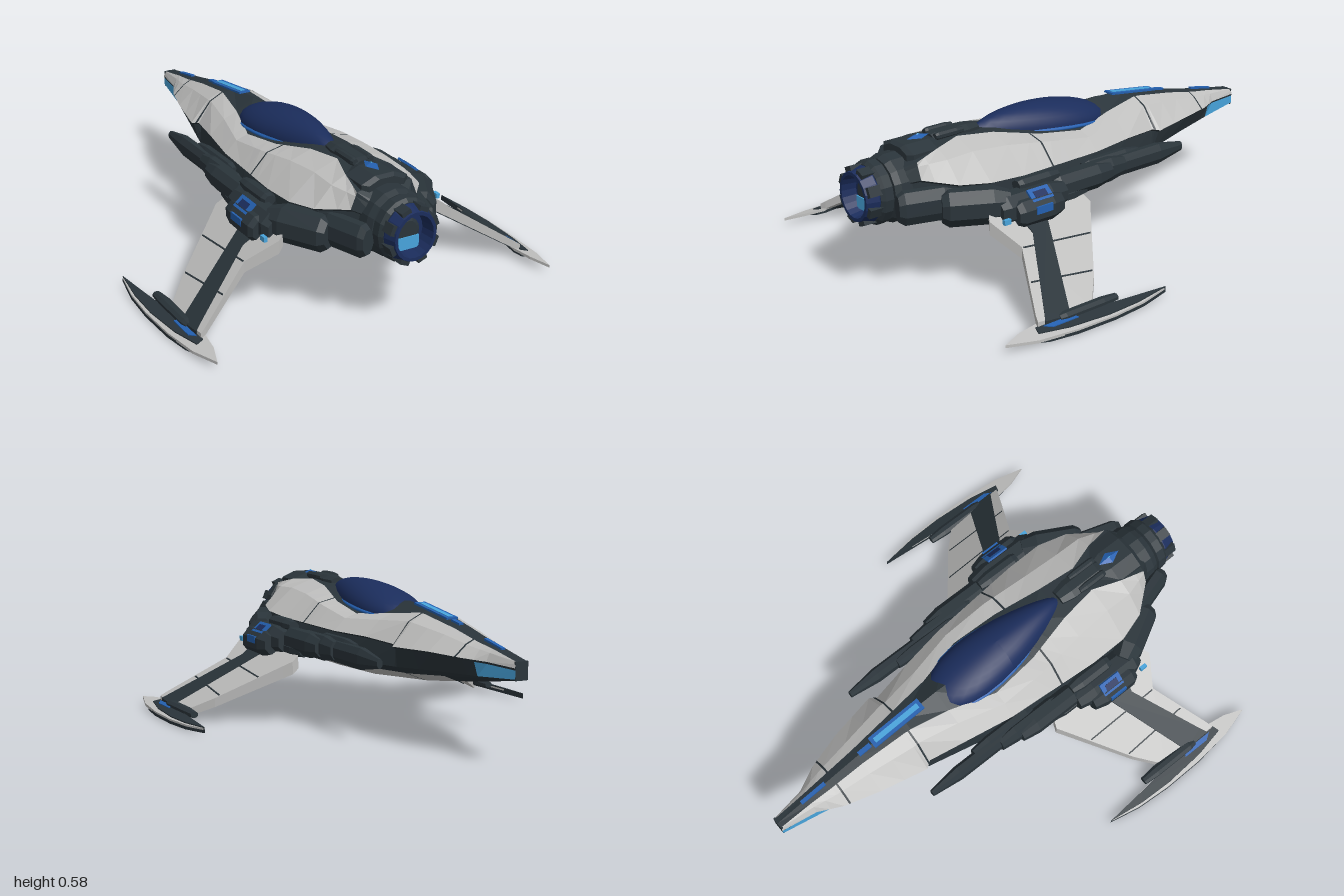
import * as THREE from 'three';

const mat = (name, color) => Object.assign(new THREE.MeshStandardMaterial({ color }), { name });

// Upper hull: z, spine top y, spine edge x/y, shoulder break x/y, shoulder foot x/y
const UPPER = [
  [-1, .4, .022, .398, .026, .39, .03, .376],
  [-.85, .43, .025, .425, .04, .412, .055, .38],
  [-.75, .447, .03, .44, .06, .425, .105, .385],
  [-.6, .478, .035, .47, .08, .45, .15, .39],
  [-.4, .512, .05, .503, .11, .475, .192, .385],
  [-.37, .516, .053, .505, .11, .475, .172, .39],
  [-.2, .53, .08, .485, .14, .462, .205, .4],
  [0, .51, .137, .465, .19, .449, .24, .4],
  [.2, .52, .122, .492, .19, .479, .256, .405],
  [.4, .54, .08, .535, .17, .505, .272, .41],
  [.56, .55, .06, .55, .16, .515, .272, .42],
  [.68, .548, .1, .54, .16, .51, .235, .43],
  [.79, .53, .12, .515, .125, .5, .145, .45],
  [.87, .47, .04, .47, .06, .46, .08, .43],
];
// Lower hull: z, chine x/y, belly break x/y, keel ridge y
const LOWER = [
  [-1, .028, .335, .02, .332, .328],
  [-.8, .06, .32, .045, .31, .297],
  [-.6, .11, .313, .08, .292, .267],
  [-.4, .16, .302, .12, .275, .24],
  [0, .245, .292, .19, .262, .208],
  [.3, .285, .285, .21, .258, .202],
  [.55, .275, .285, .2, .26, .205],
  [.78, .16, .29, .13, .275, .245],
  [.87, .08, .36, .05, .33, .32],
];

// Linear lookup of one row at z
function rowAt(table, z) {
  let i = 0;
  while (i < table.length - 2 && table[i + 1][0] < z) i++;
  const [a, b] = [table[i], table[i + 1]];
  const t = (z - a[0]) / (b[0] - a[0]);
  return a.map((v, k) => v + (b[k] - v) * t);
}

function halfProfile(z) {
  const [, yt, s, ys, m, ym, w, yw] = rowAt(UPPER, z);
  const [, w2, y2, b, yb, yk] = rowAt(LOWER, z);
  return [[0, yt], [s, ys], [m, ym], [w, yw], [w * .94, yw - .008], [w2, y2], [b, yb], [b * .28, yk], [0, yk + b * .09]]
    .map(([x, y]) => [x, y, z]);
}

// Facet a geometry
function flat(geo) {
  const g = geo.index ? geo.toNonIndexed() : geo;
  g.computeVertexNormals();
  return g;
}

// Mirrored copy across x with corner order reversed
function mirror(geo) {
  const g = geo.index ? geo.toNonIndexed() : geo.clone();
  for (const key of ['position', 'normal']) {
    const a = g.attributes[key].array;
    for (let i = 0; i < a.length; i += 9) {
      for (let k = 0; k < 3; k++) [a[i + 3 + k], a[i + 6 + k]] = [a[i + 6 + k], a[i + 3 + k]];
      for (let k = 0; k < 9; k += 3) a[i + k] *= -1;
    }
  }
  return g;
}

// Eight-sided block with chamfered ends, long axis on z
function block(x, y, z, w, h, l, nose = .36, yaw = 0) {
  const pts = [[0, -.5], [.38, -.5], [.5, -.4], [.5, .25], [nose, .5], [0, .5]]
    .map(([r, t]) => new THREE.Vector2(r / Math.cos(Math.PI / 8), t));
  const g = new THREE.LatheGeometry(pts, 8);
  g.rotateY(Math.PI / 8).rotateX(-Math.PI / 2).scale(w, h, l).rotateY(yaw).translate(x, y, z);
  return flat(g);
}

// Plate with a top outline in x/z; height follows a rule of x and z
function plate(outline, mid, thick) {
  const shape = new THREE.Shape(outline.map(([x, z]) => new THREE.Vector2(x, z)));
  const g = new THREE.ExtrudeGeometry(shape, { depth: 1, bevelEnabled: false });
  g.rotateX(Math.PI / 2);
  const p = g.attributes.position;
  for (let i = 0; i < p.count; i++) p.setY(i, mid(p.getX(i), p.getZ(i)) + (p.getY(i) + .5) * thick(p.getX(i)));
  return flat(g);
}

function ring(profile, sides = 20) {
  const g = new THREE.LatheGeometry(profile.map(([r, z]) => new THREE.Vector2(r, z)), sides);
  g.rotateX(Math.PI / 2).scale(1, 1.08, 1).translate(0, .395, 0);
  return flat(g);
}

export function createModel() {
  const white = mat('pale armour', 0xbfbfbe), dark = mat('dark metal', 0x2a343a);
  const navy = mat('navy glass', 0x1b2d5c), blue = mat('blue trim', 0x2460b0), glow = mat('light blue glow', 0x48a4dc);
  const model = new THREE.Group();
  model.name = 'starfighter';
  const add = (name, geo, m) => {
    const mesh = new THREE.Mesh(geo, m);
    mesh.name = name;
    model.add(mesh);
  };
  const pair = (name, geo, m) => {
    add(name + 'Left', geo, m);
    add(name + 'Right', mirror(geo), m);
  };
  const box = (x, y, z, w, h, l, tilt = 0) =>
    new THREE.BoxGeometry(w, h, l).rotateZ(tilt).translate(x, y, z);

  // Hull: strips of spine, armour, flank, belly and keel with dark seams
  const seams = [-.73, -.385, .24];
  const zs = [...UPPER.map(r => r[0]), ...seams, ...seams.map(z => z + .008), -.8, -.5, -.05, .15, .3, .75].sort((a, b) => a - b);
  const mats = [white, dark, glow, navy, blue];
  const hull = [[], [], [], [], []];
  for (let i = 0; i < zs.length - 1; i++) {
    const A = halfProfile(zs[i]), B = halfProfile(zs[i + 1]), mz = (zs[i] + zs[i + 1]) / 2;
    const seam = seams.some(z => mz > z && mz < z + .008);
    for (let j = 0; j < 8; j++) {
      let k = 1;
      if ((j === 1 || j === 2) && !seam && mz < .79) k = 0;
      if (j === 6 && !seam && mz > -.6 && mz < .75) k = 0;
      if (j === 4 && mz < -.8) k = 2;
      if (j === 7 && mz > -.5 && mz < -.2) k = 4;
      if (j === 7 && mz > -.05 && mz < .15) k = 3;
      hull[k].push(...A[j], ...B[j], ...B[j + 1], ...A[j], ...B[j + 1], ...A[j + 1]);
    }
  }
  hull.forEach((v, k) => {
    const g = new THREE.BufferGeometry();
    g.setAttribute('position', new THREE.Float32BufferAttribute(v, 3));
    pair(['hullArmour', 'hullFrame', 'noseLight', 'keelGlass', 'keelLight'][k], flat(g), mats[k]);
  });
  add('noseCap', box(0, .364, -.996, .054, .07, .008), dark);

  // Teardrop canopy and its rim
  const canopy = (wide, high, y) => {
    const g = new THREE.SphereGeometry(1, 28, 18), p = g.attributes.position;
    for (let i = 0; i < p.count; i++) {
      const t = p.getZ(i);
      p.setXYZ(i, p.getX(i) * wide * (1 - .42 * t), y + .025 * t + p.getY(i) * high, .11 + .335 * t);
    }
    g.computeVertexNormals();
    return g;
  };
  add('canopy', canopy(.114, .092, .488), navy);
  add('canopyRim', canopy(.12, .026, .485), blue);

  // Spine details
  const strip = (z, y, w, l, tilt) => new THREE.BoxGeometry(w, .008, l).rotateX(-tilt).translate(0, y, z);
  add('noseLightStrip', strip(-.4, .513, .05, .25, .13), blue);
  add('noseLightCore', strip(-.4, .515, .022, .22, .13), glow);
  add('noseTrimStrip', strip(-.56, .487, .02, .06, .16), blue);
  add('noseFrontStrip', strip(-.82, .437, .016, .12, .18), blue);
  add('dorsalFairing', block(0, .545, .54, .09, .05, .22), dark);
  add('dorsalHousing', block(0, .52, .72, .2, .085, .17), dark);
  pair('dorsalFin', block(.035, .56, .58, .03, .03, .13), dark);
  add('dorsalGem', flat(new THREE.OctahedronGeometry(1).scale(.026, .012, .052).translate(0, .563, .7)), blue);
  add('dorsalGemCore', flat(new THREE.OctahedronGeometry(1).scale(.01, .014, .026).translate(0, .564, .7)), glow);

  // Flank armour: x, y, z, width, height, length, nose, yaw
  [[.3, .335, .14, .085, .1, .3], [.325, .325, .42, .12, .12, .32], [.265, .345, .63, .12, .14, .26, .36, -.5],
    [.17, .36, .78, .075, .13, .24, .36, -.3], [.25, .345, -.06, .05, .08, .3], [.37, .31, .42, .1, .11, .22],
    [.295, .39, .36, .06, .05, .2], [.3, .3, .28, .09, .06, .3]]
    .forEach((b, i) => pair('flankArmour' + (i + 1), block(...b), dark));

  // Long forward pods and root lights
  pair('forwardPod', block(.27, .33, -.17, .054, .085, .54, .22), dark);
  pair('podRear', block(.285, .335, .05, .062, .1, .3), dark);
  pair('rootLight', box(.377, .37, .41, .056, .009, .1, -.7), blue);
  pair('rootLightInset', box(.378, .371, .41, .028, .009, .06, -.7), navy);
  pair('rootSideLight', box(.418, .325, .42, .008, .03, .08), blue);
  pair('rootRearLight', box(.39, .305, .58, .015, .02, .03), glow);

  // Drooping pitched wings with a dark spar and panel seams
  const mid = (x, z) => .262 - .68 * (x - .36) + .1 * (z - .4);
  const thick = k => x => k * (.054 - .06 * (x - .35));
  const wing = (name, pts, k, m) => pair(name, plate(pts, mid, thick(k)), m);
  wing('wing', [[.33, .15], [.36, .14], [.39, .165], [.62, .35], [.72, .45], [.725, .71], [.7, .7], [.47, .575], [.36, .64], [.33, .62]], 1, white);
  wing('wingSpar', [[.38, .38], [.44, .41], [.73, .56], [.73, .68], [.7, .66], [.43, .49], [.38, .5]], 1.18, dark);
  wing('wingSeamInner', [[.47, .235], [.475, .24], [.475, .57], [.47, .57]], 1.05, dark);
  wing('wingSeamOuter', [[.6, .34], [.605, .345], [.595, .635], [.59, .63]], 1.05, dark);

  // Crescent blades at the wing tips: pale top layer, dark underside and core
  const tip = (name, pts, y, t, m) => pair(name, plate(pts, x => y + .25 * (.8 - x), () => t), m);
  tip('tipBlade', [[.765, .12], [.79, .25], [.8, .4], [.797, .58], [.78, .75], [.745, .875], [.715, .79], [.702, .7], [.73, .6], [.742, .35]], .014, .011, white);
  tip('tipUnderside', [[.764, .113], [.791, .25], [.801, .4], [.798, .58], [.784, .7], [.765, .76], [.71, .74], [.702, .7], [.73, .6], [.741, .35]], .006, .012, dark);
  tip('tipCore', [[.763, .114], [.784, .27], [.789, .42], [.777, .6], [.752, .73], [.722, .72], [.73, .5], [.748, .3]], .012, .024, dark);
  tip('tipLight', [[.732, .55], [.752, .54], [.752, .66], [.732, .69]], .014, .027, blue);
  pair('tipBracket', block(.72, .042, .47, .045, .036, .28), dark);

  // Engine: stacked collars and open nozzle with a low light
  add('engineCollar', ring([[.09, .74], [.12, .76], [.126, .8], [.126, .86], [.115, .885], [.09, .885]], 16), dark);
  add('engineRing', ring([[.09, .88], [.118, .895], [.118, .93], [.106, .945], [.08, .945]], 16), dark);
  add('nozzle', ring([[.1, .93], [.104, .95], [.09, 1], [.078, 1], [.07, .94], [0, .94]]), navy);
  add('nozzleCore', ring([[.05, .94], [.05, .948], [.04, .952], [0, .952]], 16), dark);
  add('engineGlow', box(0, .352, .952, .09, .05, .008), glow);
  for (let i = 0; i < 8; i++) {
    const a = (i + .5) * Math.PI / 4;
    const vane = new THREE.BoxGeometry(.022, .04, .075).rotateZ(a)
      .translate(Math.cos(a) * .097, .395 + Math.sin(a) * .105, .955);
    add('nozzleVane' + (i + 1), vane, dark);
  }
  return model;
}
